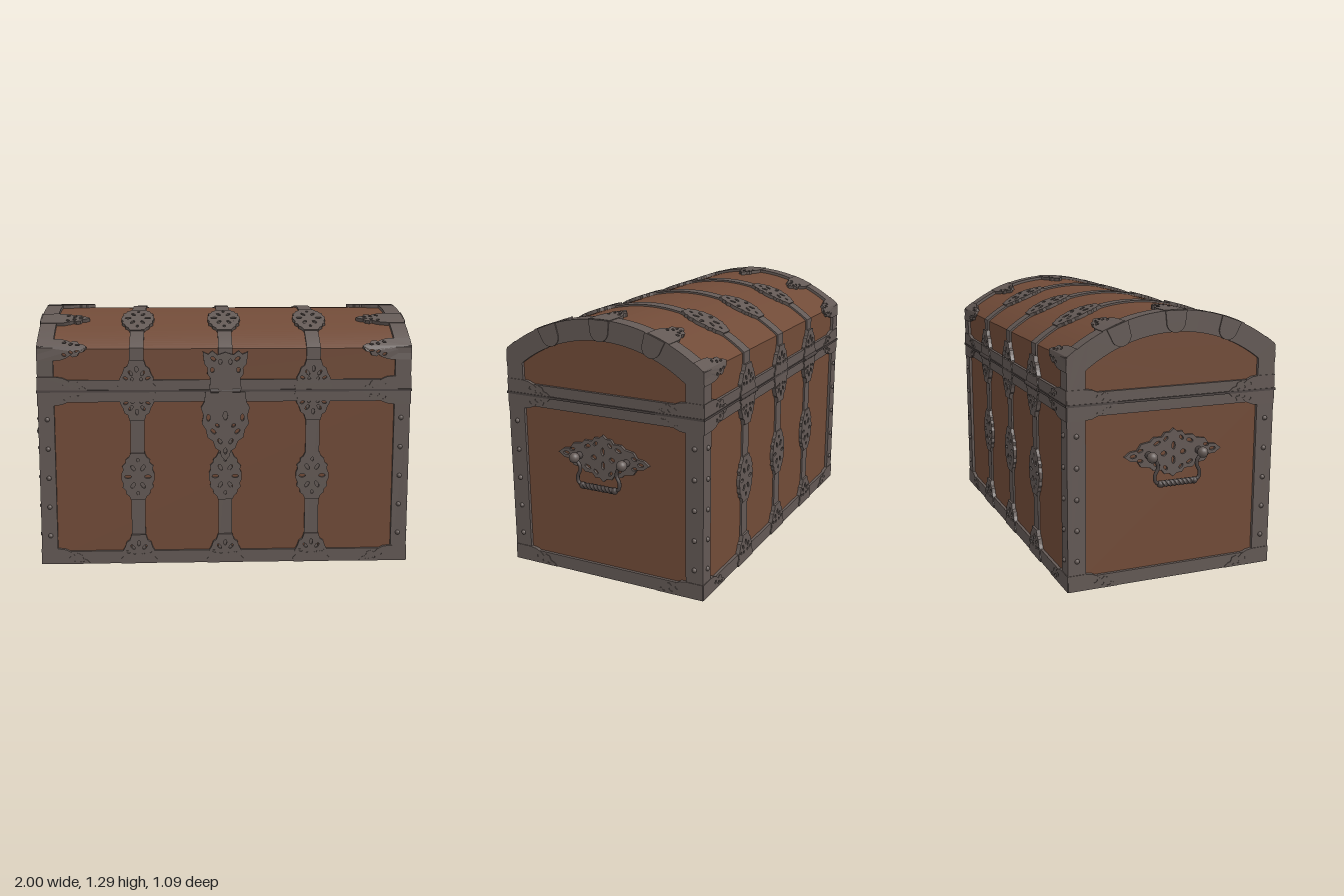
import * as THREE from 'three';
import { toCreasedNormals } from 'three/addons/utils/BufferGeometryUtils.js';

const wood = new THREE.MeshStandardMaterial({ color: 0x714b38 });
wood.name = 'brown wood';
const iron = new THREE.MeshStandardMaterial({ color: 0x635955 });
iron.name = 'grey iron';
const darkIron = new THREE.MeshStandardMaterial({ color: 0x4c4442 });
darkIron.name = 'dark iron';

// Outer half sizes of the ironwork, and of the wood set in behind it
const X = 0.93, Z = 0.53, WX = 0.915, WZ = 0.515;
// Lid vault: circle centre height and radii
const CY = 0.456, R = 0.834, WR = 0.819;
const edgeS = WR * Math.asin(WZ / WR), edgeY = CY + Math.sqrt(WR * WR - WZ * WZ);

function add(parent, name, geo, mat, x = 0, y = 0, z = 0) {
  const m = new THREE.Mesh(geo, mat);
  m.name = name;
  m.position.set(x, y, z);
  parent.add(m);
  return m;
}
const box = (w, h, d) => new THREE.BoxGeometry(w, h, d);

// Pierced plate: outline [x, y], elliptical holes [x, y, rx, ry, turn], optional mirroring
function plate(outline, holes, t, sx = 1, sy = 1) {
  const s = new THREE.Shape(outline.map(([x, y]) => new THREE.Vector2(x * sx, y * sy)));
  for (const [x, y, rx, ry, a = 0] of holes) {
    const p = new THREE.Path();
    p.absellipse(x * sx, y * sy, rx, ry, 0, Math.PI * 2, false, a * sx * sy);
    s.holes.push(p);
  }
  return new THREE.ExtrudeGeometry(s, { depth: t, bevelEnabled: false, curveSegments: 5 });
}
// Outline mirrored about x = 0 from the right-hand half, listed bottom to top
const mirrored = (half) => [...half, ...half.slice().reverse().filter(([x]) => x > 0).map(([x, y]) => [-x, y])];
const bothSides = (holes) => holes.flatMap(([x, y, a, b, r = 0]) => [[x, y, a, b, r], [-x, y, a, b, -r]]);

// Vault section with straight foot, half width w
function vault(path, w, foot, cy, r) {
  const a = Math.asin(w / r);
  path.moveTo(-w, foot);
  path.lineTo(w, foot);
  path.absarc(0, cy, r, Math.PI / 2 - a, Math.PI / 2 + a, false);
  path.closePath();
  return path;
}
function vaultGeo(shape, width) {
  const g = new THREE.ExtrudeGeometry(shape, { depth: width, bevelEnabled: false, curveSegments: 32 });
  g.translate(0, 0, -width / 2).rotateY(Math.PI / 2);
  return toCreasedNormals(g, 0.4);
}
// Wraps a flat plate over the lid at distance s0 round the vault from the ridge
function bend(geo, x0, s0) {
  const p = geo.attributes.position;
  for (let i = 0; i < p.count; i++) {
    const s = s0 - p.getY(i), h = p.getZ(i), k = Math.sign(s), over = Math.abs(s) - edgeS;
    const a = s / WR;
    if (over > 1e-6) p.setXYZ(i, p.getX(i) + x0, edgeY - over, k * (WZ + h));
    else p.setXYZ(i, p.getX(i) + x0, CY + (WR + h) * Math.cos(a), (WR + h) * Math.sin(a));
  }
  geo.computeVertexNormals();
  return geo;
}

// Ornament outlines and piercings
const MEDAL = mirrored([[0.036, -0.12], [0.045, -0.1], [0.06, -0.088], [0.062, -0.07], [0.078, -0.055], [0.074, -0.035],
  [0.083, -0.015], [0.083, 0.015], [0.074, 0.035], [0.078, 0.055], [0.062, 0.07], [0.06, 0.088], [0.045, 0.1], [0.036, 0.12]]);
const MEDAL_HOLES = [0, 1, 2, 3, 4, 5].map((i) => {
  const a = i * Math.PI / 3;
  return [Math.cos(a) * 0.05, Math.sin(a) * 0.052, 0.017, 0.009, a];
}).concat([[0, 0.085, 0.007, 0.01], [0, -0.085, 0.007, 0.01]]);
const FLEUR = mirrored([[0.09, 0], [0.094, 0.02], [0.08, 0.035], [0.084, 0.06], [0.07, 0.085], [0.062, 0.11], [0.046, 0.12], [0.036, 0.15]]);
const FLEUR_HOLES = [[0, 0.105, 0.008, 0.015], ...bothSides([[0.03, 0.085, 0.015, 0.008, 0.9], [0.055, 0.06, 0.012, 0.007, 0.4], [0.022, 0.055, 0.008, 0.008]])];
const LEAF = [[0, 0], [0.245, 0], [0.228, 0.016], [0.208, 0.022], [0.2, 0.04], [0.178, 0.046], [0.165, 0.036], [0.148, 0.05], [0.12, 0.062], [0.085, 0.066], [0, 0.066]];
const LEAF_HOLES = [[0.2, 0.012, 0.012, 0.005], [0.168, 0.018, 0.011, 0.007, 0.5], [0.135, 0.032, 0.011, 0.007, 0.5]];
const LOCK = mirrored([[0, -0.35], [0.022, -0.325], [0.026, -0.3], [0.05, -0.285], [0.062, -0.25], [0.09, -0.23], [0.098, -0.19],
  [0.118, -0.16], [0.11, -0.12], [0.122, -0.08], [0.105, -0.05], [0.1, 0]]);
const LOCK_HOLES = [[0, -0.3, 0.008, 0.016], [0, -0.12, 0.012, 0.022],
  ...bothSides([[0.028, -0.25, 0.015, 0.009, 1], [0.06, -0.2, 0.016, 0.009, 0.8], [0.085, -0.13, 0.009, 0.018], [0.04, -0.17, 0.012, 0.008, 0.5]])];
const HASP = mirrored([[0.08, 0], [0.075, 0.06], [0.09, 0.08], [0.088, 0.11], [0.105, 0.13], [0.112, 0.19], [0.085, 0.178], [0.065, 0.195], [0.04, 0.175], [0, 0.188]]);
const HASP_HOLES = bothSides([[0.06, 0.155, 0.014, 0.009, 0.6], [0.065, 0.1, 0.009, 0.014], [0.025, 0.14, 0.008, 0.014]]);
const QUARTER = [[0.25, 0], [0.22, 0.022], [0.185, 0.026], [0.165, 0.055], [0.12, 0.062], [0.1, 0.08], [0.06, 0.08], [0.045, 0.1], [0.02, 0.1], [0, 0.117]];
const ESCUTCHEON = mirrored([...QUARTER.slice().reverse().map(([x, y]) => [x, -y]), ...QUARTER.slice(1)]);
const ESCUTCHEON_HOLES = bothSides([[0.205, 0, 0.017, 0.009], [0.17, 0.024, 0.015, 0.008, -0.3], [0.17, -0.024, 0.015, 0.008, 0.3],
  [0.085, 0.052, 0.018, 0.009, -0.4], [0.085, -0.052, 0.018, 0.009, 0.4], [0.04, 0.07, 0.014, 0.008, -0.8], [0.04, -0.07, 0.014, 0.008, 0.8], [0.05, 0, 0.015, 0.012]])
  .concat([[0, 0.035, 0.009, 0.02], [0, -0.035, 0.009, 0.02]]);

const rivetGeo = new THREE.SphereGeometry(0.012, 10, 8);

// Rails, corner leaves and rivets shared by all four walls (local +z faces outward)
function wall(parent, name, angle, half, dist) {
  const g = new THREE.Group();
  g.name = name;
  g.rotation.y = angle;
  parent.add(g);
  for (const [y0, y1] of [[0, 0.065], [0.83, 0.88], [0.89, 0.94]])
    add(g, 'rail', box(half * 2, y1 - y0, 0.02), iron, 0, (y0 + y1) / 2, dist - 0.01);
  for (const s of [-1, 1]) {
    add(g, 'bottomCornerLeaf', plate(LEAF, LEAF_HOLES, 0.018, -s, 1.2), iron, s * half, 0, dist - 0.015);
    add(g, 'jointLeafLower', plate(LEAF, LEAF_HOLES, 0.018, -s, -1), iron, s * half, 0.88, dist - 0.015);
    add(g, 'jointLeafUpper', plate(LEAF, LEAF_HOLES, 0.018, -s, 1), iron, s * half, 0.89, dist - 0.015);
    for (let i = 0; i < 5; i++) add(g, 'rivet', rivetGeo, iron, s * (half - 0.045), 0.148 + i * 0.149, dist);
  }
  return g;
}

// Swinging side handle with turned posts and a twisted grip
function handle(g) {
  add(g, 'handlePlate', plate(ESCUTCHEON, ESCUTCHEON_HOLES, 0.014), iron, 0, 0.62, WX);
  for (const s of [-1, 1]) {
    const post = new THREE.CylinderGeometry(0.012, 0.02, 0.07, 12).rotateX(Math.PI / 2);
    add(g, 'handlePost', post, darkIron, s * 0.13, 0.62, 0.95);
    add(g, 'handleKnob', new THREE.SphereGeometry(0.026, 16, 12), iron, s * 0.13, 0.62, 0.974);
    const arm = new THREE.CatmullRomCurve3([[0.13, 0.615], [0.104, 0.59], [0.1, 0.565], [0.115, 0.53], [0.11, 0.5], [0.085, 0.488]]
      .map(([x, y]) => new THREE.Vector3(s * x, y, 0.972)));
    add(g, 'handleArm', new THREE.TubeGeometry(arm, 20, 0.009, 8), darkIron);
    add(g, 'handleCollar', new THREE.SphereGeometry(0.017, 12, 8), darkIron, s * 0.088, 0.488, 0.972);
  }
  const grip = box(0.17, 0.024, 0.024).toNonIndexed() && new THREE.BoxGeometry(0.17, 0.024, 0.024, 32, 1, 1);
  const p = grip.attributes.position, v = new THREE.Vector3(), axis = new THREE.Vector3(1, 0, 0);
  for (let i = 0; i < p.count; i++) {
    v.fromBufferAttribute(p, i).applyAxisAngle(axis, p.getX(i) * 75);
    p.setXYZ(i, v.x, v.y, v.z);
  }
  grip.computeVertexNormals();
  add(g, 'handleGrip', grip, darkIron, 0, 0.488, 0.972);
}

export function createModel() {
  const chest = new THREE.Group();
  chest.name = 'chest';

  // Wooden body and lid, with a narrow lip between
  add(chest, 'body', box(WX * 2, 0.876, WZ * 2), wood, 0, 0.442, 0);
  add(chest, 'lid', vaultGeo(vault(new THREE.Shape(), WZ, 0.89, CY, WR), WX * 2), wood);
  add(chest, 'lip', box(X * 2 + 0.012, 0.011, Z * 2 + 0.012), darkIron, 0, 0.885, 0);

  // Corner posts, underside plates and arched end frames
  const foot = new THREE.CylinderGeometry(0.15, 0.15, 0.008, 12, 1, false, 0, Math.PI / 2);
  for (const sx of [-1, 1]) {
    for (const sz of [-1, 1]) {
      add(chest, 'cornerPost', box(0.08, 0.88, 0.02), iron, sx * 0.89, 0.44, sz * 0.52);
      add(chest, 'cornerPost', box(0.02, 0.88, 0.09), iron, sx * 0.92, 0.44, sz * 0.485);
      const f = add(chest, 'footPlate', foot, iron, sx * (X - 0.005), 0.004, sz * (Z - 0.005));
      f.rotation.y = sx > 0 ? (sz > 0 ? Math.PI : -Math.PI / 2) : (sz > 0 ? Math.PI / 2 : 0);
    }
    const frame = vault(new THREE.Shape(), Z, 0.89, CY, R);
    frame.holes.push(vault(new THREE.Path(), 0.44, 0.94, 0.47, 0.72));
    add(chest, 'lidFrame', vaultGeo(frame, 0.08), iron, sx * 0.89, 0, 0);
    // Leaves reaching in over the lid, each made of two halves
    for (const s0 of [-edgeS, -0.307, 0, 0.307, edgeS])
      for (const sy of [-1, 1])
        add(chest, 'lidLeaf', bend(plate(LEAF, LEAF_HOLES, 0.018, -sx, sy * 0.85), sx * X, s0), iron);
  }

  // Straps and medallions over the lid
  for (const x of [-0.44, 0, 0.44]) {
    add(chest, 'lidStrap', vaultGeo(vault(new THREE.Shape(), 0.524, 0.89, CY, 0.828), 0.07), iron, x, 0, 0);
    for (const s of [-0.307, 0.307])
      add(chest, 'lidMedallion', bend(plate(MEDAL, MEDAL_HOLES, 0.017), x, s), iron);
  }

  // Front and back walls
  for (const [name, angle] of [['frontIronwork', 0], ['backIronwork', Math.PI]]) {
    const g = wall(chest, name, angle, X, Z);
    for (const x of [-0.44, 0, 0.44]) {
      add(g, 'strap', box(0.07, 0.82, 0.02), iron, x, 0.45, 0.514);
      add(g, 'medallion', plate(MEDAL, MEDAL_HOLES, 0.016), iron, x, 0.45, WZ);
      add(g, 'bottomFleur', plate(FLEUR, FLEUR_HOLES, 0.02), iron, x, 0, WZ);
      const lock = x === 0 && angle === 0;
      if (!lock) {
        add(g, 'upperFleur', plate(FLEUR, FLEUR_HOLES, 0.02, 1, -1), iron, x, 0.885, WZ);
        add(g, 'lidFleur', plate(FLEUR, FLEUR_HOLES, 0.02), iron, x, 0.889, WZ);
      } else {
        add(g, 'lockPlate', plate(LOCK, LOCK_HOLES, 0.024), iron, x, 0.88, WZ);
        add(g, 'hasp', plate(HASP, HASP_HOLES, 0.024), iron, x, 0.889, WZ);
        add(g, 'haspTongue', box(0.07, 0.13, 0.02), iron, x, 0.92, 0.534);
      }
      // Hinge barrels behind, lock bar in front
      if (lock || (angle && x !== 0))
        add(g, 'hingeBarrel', new THREE.CylinderGeometry(0.011, 0.011, lock ? 0.15 : 0.2, 12).rotateZ(Math.PI / 2), darkIron, x, 0.885, 0.534);
    }
  }

  // End walls with handles and tongues clasping the arch
  const tongue = new THREE.Shape();
  tongue.moveTo(0.054, R - 0.001);
  tongue.lineTo(-0.054, R - 0.001);
  tongue.lineTo(-0.048, R - 0.055);
  tongue.absarc(0, R - 0.055, 0.048, Math.PI, Math.PI * 2, false);
  const tongueGeo = new THREE.ExtrudeGeometry(tongue, { depth: 0.016, bevelEnabled: false, curveSegments: 12 });
  for (const [name, angle] of [['leftIronwork', Math.PI / 2], ['rightIronwork', -Math.PI / 2]]) {
    const g = wall(chest, name, angle, Z, X);
    handle(g);
    for (const a of [-0.355, 0, 0.355]) add(g, 'archTongue', tongueGeo, iron, 0, CY, 0.92).rotation.z = a;
  }
  return chest;
}
